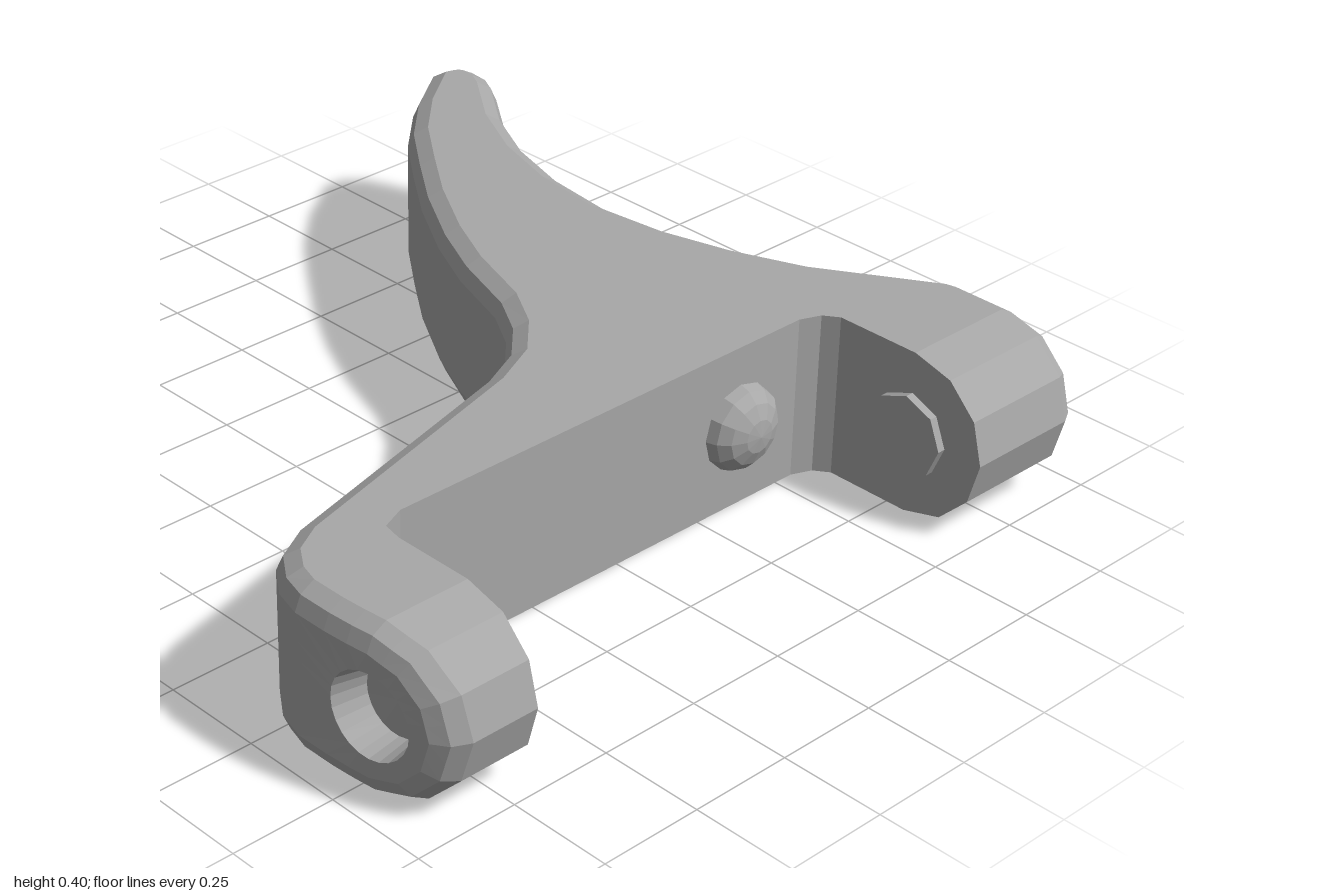
import * as THREE from 'three';

const HEIGHT = 0.4;
// Edge rounding: [inset from the side, distance from the top or bottom]
const BEVEL = [[0.05, 0], [0.015, 0.02], [0, 0.055]];

// Facetted geometry from triangles of [x, y, z] points
function facetted(triangles) {
  const g = new THREE.BufferGeometry();
  g.setAttribute('position', new THREE.Float32BufferAttribute(triangles.flat(2), 3));
  g.computeVertexNormals();
  return g;
}

// Skin a list of closed rings that all have the same point count
function loft(rings, flip = false) {
  const tris = [];
  for (let j = 0; j < rings.length - 1; j++) {
    const n = rings[j].length;
    for (let i = 0; i < n; i++) {
      const k = (i + 1) % n;
      const a = rings[j][i], b = rings[j][k], c = rings[j + 1][k], d = rings[j + 1][i];
      if (flip) tris.push([a, c, b], [a, d, c]);
      else tris.push([a, b, c], [a, c, d]);
    }
  }
  return tris;
}

// Lever and web: rounded on the outer side, square along the channel
function bodyGeometry() {
  const outer = [
    [0.64, -0.965], [0.35, -0.79], [0.18, -0.72], [0, -0.67], [-0.17, -0.65], [-0.35, -0.67],
    [-0.52, -0.72], [-0.68, -0.8], [-0.83, -0.91], [-0.88, -0.935], [-0.94, -0.94],
    [-0.98, -0.92], [-1, -0.88], [-1, -0.83], [-0.9, -0.69], [-0.78, -0.565], [-0.64, -0.46],
    [-0.5, -0.36], [-0.33, -0.26], [-0.18, -0.19], [0, -0.13], [0.1, -0.07], [0.18, 0.01],
    [0.23, 0.12], [0.41, 0.8], [0.46, 0.89], [0.53, 0.94], [0.6, 0.959],
  ];
  const channel = [[0.6, 0.69], [0.55, 0.68], [0.525, 0.62], [0.53, -0.55], [0.55, -0.6], [0.585, -0.625], [0.64, -0.625]];
  const last = outer.length - 1;

  const ring = (inset, y) => [
    ...outer.map(([x, z], i) => {
      if (i === 0) return [x, y, z + inset];
      if (i === last) return [x, y, z - inset];
      const [p, q] = [outer[i - 1], outer[i + 1]];
      const dx = q[0] - p[0], dz = q[1] - p[1], l = Math.hypot(dx, dz);
      return [x + (dz / l) * inset, y, z - (dx / l) * inset];
    }),
    ...channel.map(([x, z]) => [x, y, z]),
  ];

  const rings = [
    ...BEVEL.map(([inset, d]) => ring(inset, d)),
    ...[...BEVEL].reverse().map(([inset, d]) => ring(inset, HEIGHT - d)),
  ];
  const tris = loft(rings);
  const bottom = rings[0], top = rings[rings.length - 1];
  const faces = THREE.ShapeUtils.triangulateShape(top.map(([x, , z]) => new THREE.Vector2(x, -z)), []);
  for (const [a, b, c] of faces) {
    tris.push([top[a], top[b], top[c]], [bottom[a], bottom[c], bottom[b]]);
  }
  return facetted(tris);
}

// Mounting ear: D-shaped section run along z, with a blind hole in its outer face
function earGeometry(innerZ, outerZ, leftWidth) {
  const N = 24, R = 0.2, cx = 0.8, cy = 0.2;
  const s = Math.sign(innerZ);
  const angles = Array.from({ length: N }, (_, i) => (i * 2 * Math.PI) / N);
  const section = angles.map((a, i) => {
    const c = Math.cos(a), n = Math.sin(a);
    if (c > 1e-6) {
      const r = i % 2 ? R * Math.cos(Math.PI / 12) : R;
      return [r * c, r * n];
    }
    const k = R / Math.max(Math.abs(c), Math.abs(n));
    return [(k * c * leftWidth) / R, k * n];
  });
  // Section reduced by an inset, leaving the joint with the web in place
  const outline = (inset, z) => section.map(([x, y]) => {
    const k = 1 - inset / R;
    const px = cx + (x > 0 ? x * k : x);
    return [px, cy + y * k, z(px)];
  });
  const circle = (r, z) => angles.map((a) => {
    const x = cx + r * Math.cos(a);
    return [x, cy + r * Math.sin(a), z(x)];
  });
  const back = (d) => (x) => outerZ(x) - s * d;
  const rings = [
    circle(0, () => innerZ),
    outline(0, () => innerZ),
    outline(0, back(0.05)),
    outline(0.02, back(0.015)),
    outline(0.055, back(0)),
    circle(0.1, back(0)),
    circle(0.085, back(0.08)),
    circle(0, back(0.08)),
  ];
  return facetted(loft(rings, s < 0));
}

export function createModel() {
  const model = new THREE.Group();
  model.name = 'leverBracket';
  const grey = new THREE.MeshStandardMaterial({ color: 0xa8a8a8 });
  grey.name = 'grey';

  const add = (name, geometry, x = 0, y = 0, z = 0) => {
    const mesh = new THREE.Mesh(geometry, grey);
    mesh.name = name;
    mesh.position.set(x, y, z);
    model.add(mesh);
    return mesh;
  };

  add('leverBody', bodyGeometry());
  add('frontEar', earGeometry(0.69, (x) => 0.96 - 0.4 * (x - 0.64) ** 2, 0.2));
  add('backEar', earGeometry(-0.625, () => -0.965, 0.16));

  // Octagonal pivot bosses on the inner faces of the ears
  const flat = (g) => {
    const f = g.toNonIndexed();
    f.computeVertexNormals();
    return f;
  };
  const boss = flat(new THREE.CylinderGeometry(0.1, 0.1, 0.05, 8).rotateX(Math.PI / 2).rotateZ(Math.PI / 2));
  add('frontBoss', boss, 0.8, 0.2, 0.69);
  add('backBoss', boss, 0.8, 0.2, -0.63);

  // Domed button on the web
  const dome = new THREE.SphereGeometry(0.105, 12, 4, 0, Math.PI * 2, 0, Math.PI / 2);
  dome.rotateZ(-Math.PI / 2).scale(0.66, 1, 1);
  add('button', flat(dome), 0.528, 0.2, -0.37);

  return model;
}
